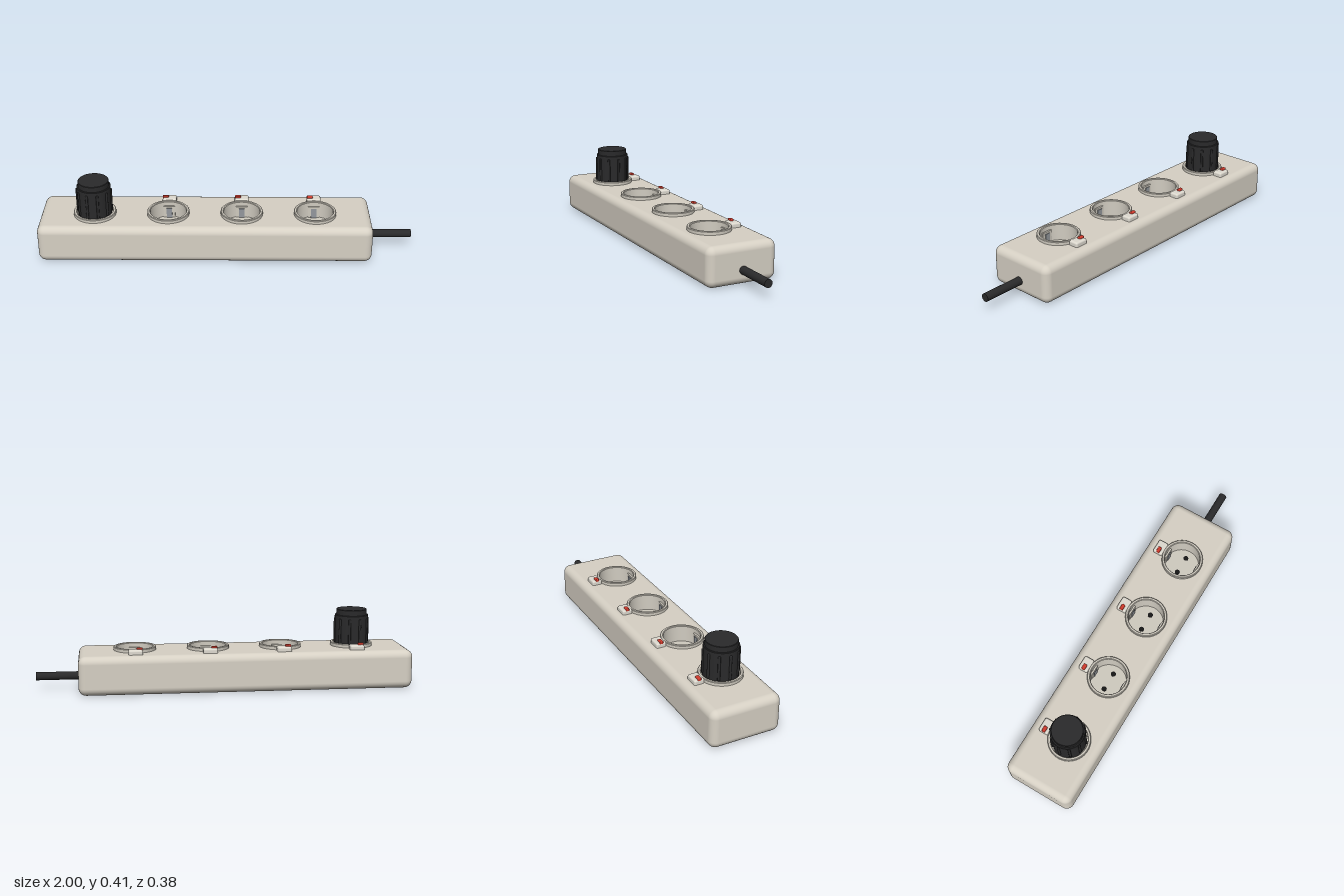
import * as THREE from 'three';
import { RoundedBoxGeometry } from 'three/addons/geometries/RoundedBoxGeometry.js';
import { toCreasedNormals } from 'three/addons/utils/BufferGeometryUtils.js';

const mat = (color, side = THREE.FrontSide) => new THREE.MeshStandardMaterial({ color, side });
const shell = mat(0xd6d0c4), ivory = mat(0xcfcabf), switchMat = mat(0xdedad0);
const black = mat(0x2a2a2b), dark = mat(0x161616), red = mat(0xd03a2c), metal = mat(0x93979c);

const BODY = { x0: -1, x1: 0.775, h: 0.207, d: 0.384, r: 0.04 };
const SOCKET_X = [-0.705, -0.312, 0.082, 0.475], SOCKET_Z = 0.021;
const FLOOR = 0.135, RIM = 0.226, HOLE_R = 0.097;

function add(parent, name, geometry, material, x = 0, y = 0, z = 0) {
  const mesh = new THREE.Mesh(geometry, material);
  mesh.name = name;
  mesh.position.set(x, y, z);
  parent.add(mesh);
  return mesh;
}

const lathe = (points, segments = 48) => toCreasedNormals(
  new THREE.LatheGeometry(points.map(p => new THREE.Vector2(...p)), segments), 0.6);

// Rounded box without its flat top, which is replaced by a pierced panel
function openTopBox(w, h, d, r) {
  const box = new RoundedBoxGeometry(w, h, d, 5, r);
  const src = box.index ? box.toNonIndexed() : box;
  const p = src.attributes.position, n = src.attributes.normal;
  const pos = [], nor = [];
  for (let i = 0; i < p.count; i += 3) {
    if ([0, 1, 2].every(k => p.getY(i + k) > h / 2 - 1e-5)) continue;
    for (let k = i; k < i + 3; k++) {
      pos.push(p.getX(k), p.getY(k), p.getZ(k));
      nor.push(n.getX(k), n.getY(k), n.getZ(k));
    }
  }
  const g = new THREE.BufferGeometry();
  g.setAttribute('position', new THREE.Float32BufferAttribute(pos, 3));
  g.setAttribute('normal', new THREE.Float32BufferAttribute(nor, 3));
  return g;
}

function makeBody() {
  const { x0, x1, h, d, r } = BODY, body = new THREE.Group();
  body.name = 'body';
  add(body, 'housing', openTopBox(x1 - x0, h, d, r), shell, (x0 + x1) / 2, h / 2, 0);
  const a = x0 + r, b = x1 - r, c = d / 2 - r;
  const panel = new THREE.Shape([[a, -c], [b, -c], [b, c], [a, c]].map(p => new THREE.Vector2(...p)));
  for (const x of SOCKET_X) {
    panel.holes.push(new THREE.Path().absarc(x, -SOCKET_Z, 0.105, 0, Math.PI * 2, true));
  }
  add(body, 'topPanel', new THREE.ShapeGeometry(panel, 24).rotateX(-Math.PI / 2), shell, 0, h, 0);
  return body;
}

// Recessed outlet with raised rim, two pin holes and two earth clips
function makeSocket() {
  const socket = new THREE.Group();
  socket.name = 'socket';
  const cup = lathe([[0.113, 0.2], [0.113, RIM - 0.003], [0.11, RIM], [HOLE_R + 0.003, RIM],
    [HOLE_R, RIM - 0.004], [HOLE_R - 0.002, FLOOR], [0, FLOOR]]);
  add(socket, 'rimAndCup', cup, mat(0xcfcabf, THREE.DoubleSide));
  for (const s of [-1, 1]) {
    add(socket, 'pinHole', new THREE.CylinderGeometry(0.014, 0.014, 0.002, 20), dark, s * 0.048, FLOOR + 0.001, 0);
    add(socket, 'earthClip', new THREE.BoxGeometry(0.062, 0.065, 0.01), ivory, 0, FLOOR + 0.0325, s * 0.089);
    add(socket, 'clipContact', new THREE.BoxGeometry(0.03, 0.055, 0.006), metal, 0, FLOOR + 0.0275, s * 0.083);
  }
  return socket;
}

function makeSwitch() {
  const group = new THREE.Group();
  group.name = 'switch';
  add(group, 'switchBase', new RoundedBoxGeometry(0.076, 0.04, 0.056, 3, 0.01), switchMat, 0, 0.212, -0.116);
  add(group, 'switchButton', new RoundedBoxGeometry(0.032, 0.024, 0.02, 3, 0.005), red, -0.021, 0.229, -0.115);
  return group;
}

// Stepped round plug with ten grip ribs
function makePlug() {
  const plug = new THREE.Group();
  plug.name = 'plug';
  add(plug, 'plugBody', lathe([[0, FLOOR + 0.003], [0.09, FLOOR + 0.003], [0.09, 0.374], [0.088, 0.376],
    [0.082, 0.376], [0.082, 0.404], [0.08, 0.406], [0, 0.406]]), black);
  for (let i = 0; i < 10; i++) {
    const a = i * Math.PI / 5;
    const rib = add(plug, 'gripRib', new RoundedBoxGeometry(0.014, 0.135, 0.014, 3, 0.005), black,
      Math.cos(a) * 0.0895, 0.2905, Math.sin(a) * 0.0895);
    rib.rotation.y = -a;
  }
  return plug;
}

export function createModel() {
  const model = new THREE.Group();
  model.name = 'powerStrip';
  model.add(makeBody());
  for (const x of SOCKET_X) {
    const socket = makeSocket(), toggle = makeSwitch();
    socket.position.set(x, 0, SOCKET_Z);
    toggle.position.x = x;
    model.add(socket, toggle);
  }
  const plug = makePlug();
  plug.position.set(SOCKET_X[0], 0, SOCKET_Z);
  model.add(plug);
  // Power cable leaving the +x end
  add(model, 'cable', new THREE.CylinderGeometry(0.0215, 0.0215, 0.245, 28).rotateZ(Math.PI / 2), black, 0.8775, 0.076, 0);
  return model;
}
